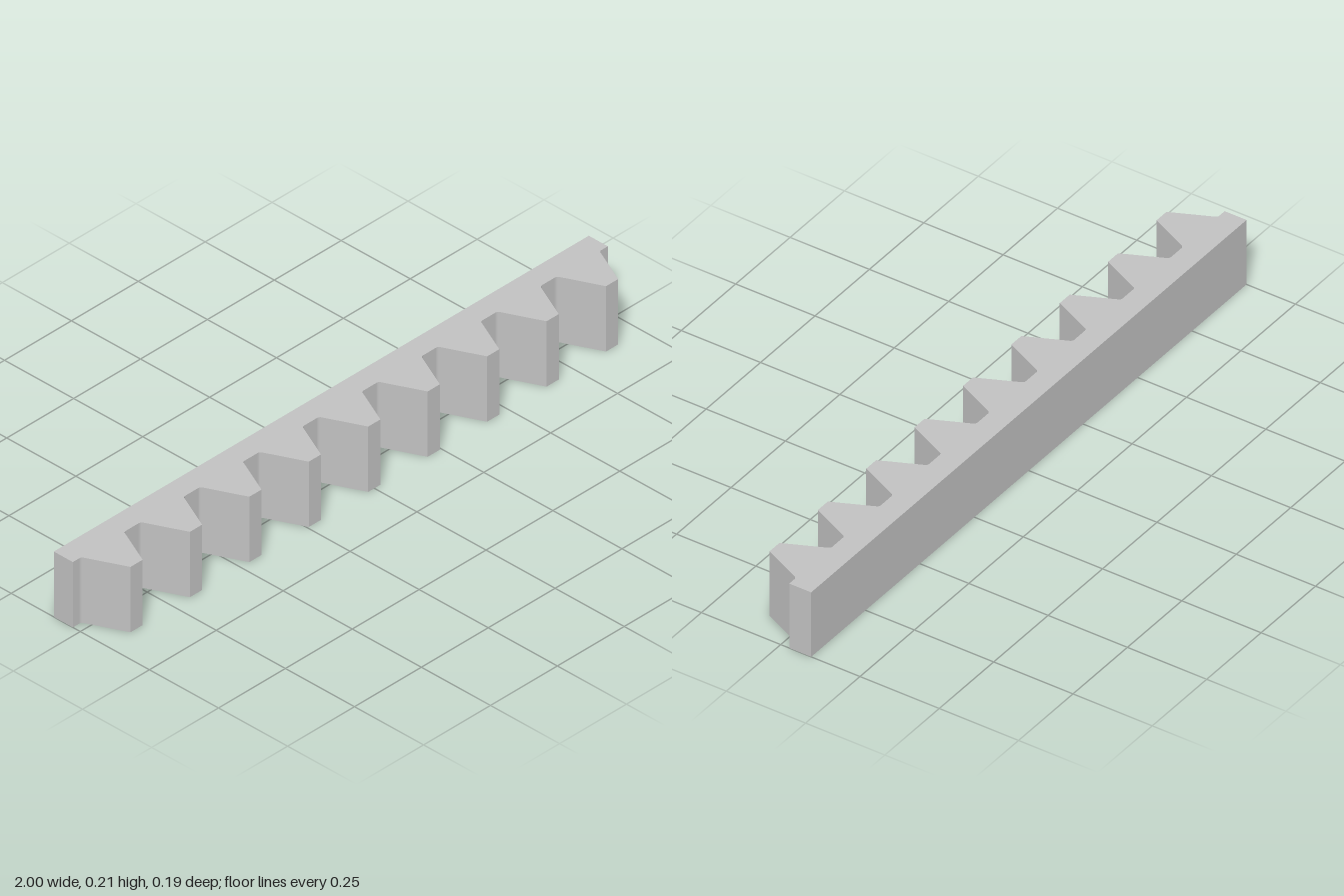
import * as THREE from 'three';

const LENGTH = 2, HEIGHT = 0.207, TEETH = 9;
const BACK = -0.096, ROOT = -0.027, TIP = 0.096;
const PITCH = LENGTH / TEETH;
const TIP_HALF = 0.0228;                      // half width of the flat tooth tip
const SLOPE = Math.tan(THREE.MathUtils.degToRad(25));
const ROOT_HALF = TIP_HALF + (TIP - ROOT) * SLOPE;
const FILLET = 0.0076;                        // tangent length of the root fillet

export function createModel() {
  const group = new THREE.Group();
  group.name = 'gearRack';
  const steel = new THREE.MeshStandardMaterial({ color: 0xc0c0c0 });
  steel.name = 'greySteel';

  // Plan outline: straight back, trapezoid teeth with small root fillets.
  // Shape y is -z, because the extrusion is turned upright below.
  const shape = new THREE.Shape();
  shape.moveTo(-LENGTH / 2, -BACK);
  shape.lineTo(-LENGTH / 2, -ROOT);
  const filletDepth = FILLET * Math.cos(Math.atan(SLOPE));
  const filletX = ROOT_HALF - filletDepth * SLOPE;
  for (let i = 0; i < TEETH; i++) {
    const c = -LENGTH / 2 + (i + 0.5) * PITCH;
    shape.lineTo(c - ROOT_HALF - FILLET, -ROOT);
    shape.quadraticCurveTo(c - ROOT_HALF, -ROOT, c - filletX, -ROOT - filletDepth);
    shape.lineTo(c - TIP_HALF, -TIP);
    shape.lineTo(c + TIP_HALF, -TIP);
    shape.lineTo(c + filletX, -ROOT - filletDepth);
    shape.quadraticCurveTo(c + ROOT_HALF, -ROOT, c + ROOT_HALF + FILLET, -ROOT);
  }
  shape.lineTo(LENGTH / 2, -ROOT);
  shape.lineTo(LENGTH / 2, -BACK);
  shape.closePath();

  const geometry = new THREE.ExtrudeGeometry(shape, { depth: HEIGHT, bevelEnabled: false, curveSegments: 5 });
  geometry.rotateX(-Math.PI / 2);
  const rack = new THREE.Mesh(geometry, steel);
  rack.name = 'toothedBar';
  group.add(rack);
  return group;
}
